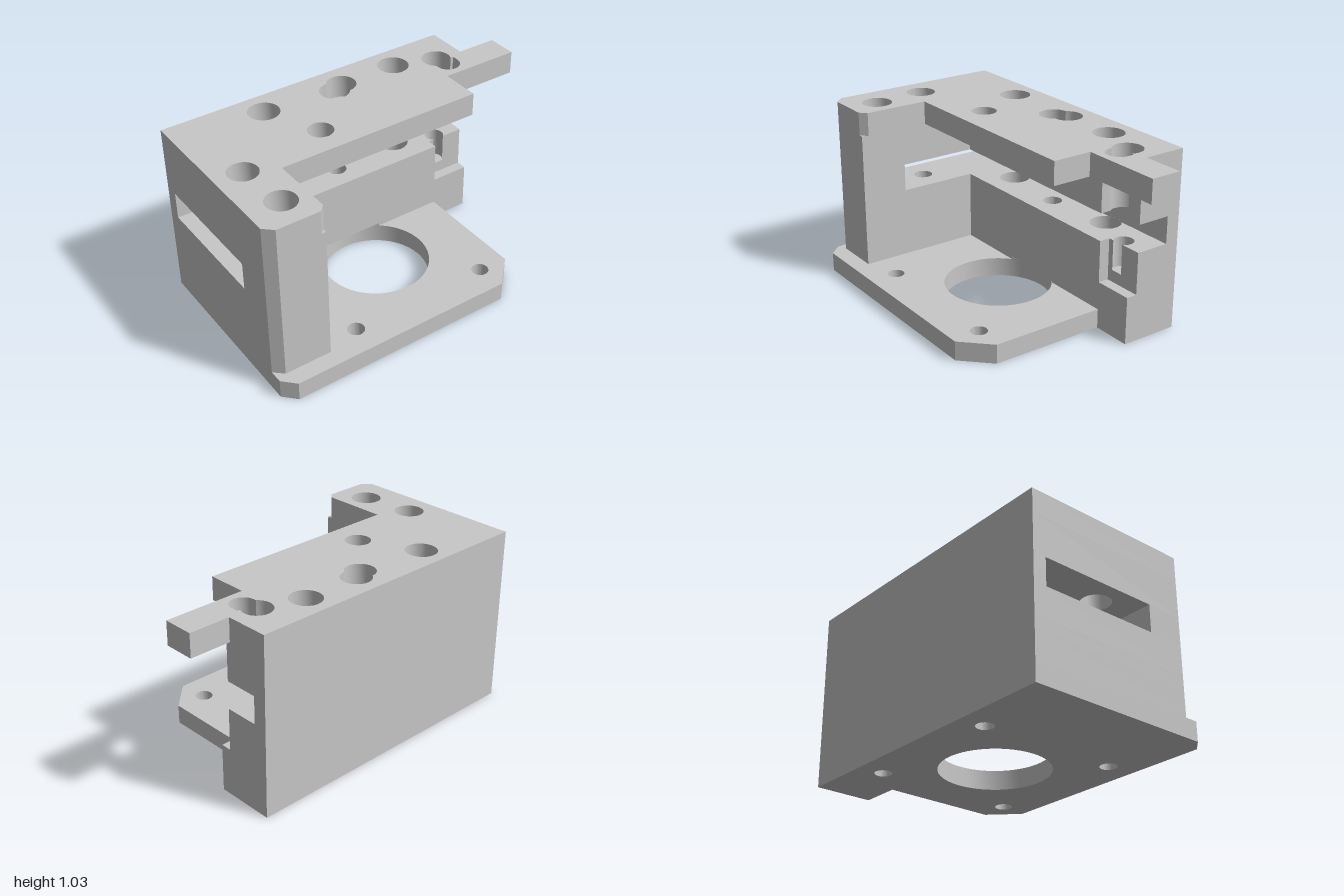
import * as THREE from 'three';
import { toCreasedNormals } from 'three/addons/utils/BufferGeometryUtils.js';

const TAU = Math.PI * 2;

// Points of an arc in plan (x, z)
function arc(cx, cz, r, a0, a1, n = 24) {
  const pts = [];
  for (let i = 0; i <= n; i++) {
    const a = a0 + (a1 - a0) * i / n;
    pts.push([cx + r * Math.cos(a), cz + r * Math.sin(a)]);
  }
  return pts;
}
const circle = (x, z, r, n = 40) => arc(x, z, r, 0, TAU, n).slice(0, n);

// Round bite out of a straight edge at z = edge, walked towards -x
function bite(cx, cz, r, edge) {
  const a = Math.asin((edge - cz) / r);
  return arc(cx, cz, r, a, -Math.PI - a);
}

export function createModel() {
  const group = new THREE.Group();
  const grey = new THREE.MeshStandardMaterial({ color: 0xc8c8c8 });
  grey.name = 'machined grey';

  // Horizontal slice of the block between two heights; holes wind opposite to the outline
  function slab(name, y0, y1, outline, holes = []) {
    const v = (pts) => pts.map(([x, z]) => new THREE.Vector2(x, -z));
    const shape = new THREE.Shape(v(outline));
    shape.holes = holes.map((h) => new THREE.Path(v(h).reverse()));
    const geo = new THREE.ExtrudeGeometry(shape, { depth: y1 - y0, bevelEnabled: false });
    geo.rotateX(-Math.PI / 2);
    const mesh = new THREE.Mesh(toCreasedNormals(geo, 0.5), grey);
    mesh.name = name;
    mesh.position.y = y0;
    group.add(mesh);
  }

  const back = -0.576, wall = -0.243, recess = -0.305, slotBack = -0.498;
  const side = 0.765, step = 0.537;
  const screwX = [-0.475, 0.362];
  const screws = (r, z) => screwX.map((x) => circle(x, z, r));
  const counterbores = screws(0.088, -0.427);

  // Column with chamfered corner, joined to the rear wall
  const column = [[-0.677, 0.479], [-0.948, 0.479], [-1, 0.43]];
  const body = (front) => [[-1, back], [side, back], ...front, [-0.677, wall], ...column];
  const plain = [[side, wall]];
  const pocket = (cut) => [[side, recess], ...cut, [step, recess], [step, wall]];

  // Base plate with motor opening and four screw holes
  slab('basePlate', 0, 0.11, [
    [-1, back], [side, back], [side, wall], [step, wall], [step, 0.422],
    [0.385, 0.576], [-0.932, 0.576], [-1, 0.505],
  ], [circle(-0.056, -0.007, 0.303, 64), ...screws(0.048, -0.427), ...screws(0.048, 0.412)]);

  // Lower body, relieved around the opening
  slab('lowerBodyRelief', 0.11, 0.127,
    body([...plain, ...bite(-0.056, -0.007, 0.303, wall)]), counterbores);
  slab('lowerBody', 0.127, 0.272, body(plain), counterbores);
  slab('pocketFloor', 0.272, 0.34, body(pocket([])), counterbores);

  // Ledge with blind pin holes
  slab('ledge', 0.34, 0.512, body(pocket(bite(0.605, -0.347, 0.055, recess))), [
    ...counterbores, circle(-0.056, -0.387, 0.055), circle(-0.84, -0.01, 0.055),
  ]);

  // Walls either side of the through slot
  slab('slotBackWall', 0.512, 0.669, [
    [-1, back], [side, back], [side, slotBack],
    ...bite(screwX[1], -0.427, 0.088, slotBack), ...bite(screwX[0], -0.427, 0.088, slotBack),
    [-1, slotBack],
  ]);
  slab('slotColumn', 0.512, 0.669, [[-1, 0.211], [-0.677, 0.211], ...column]);

  // Upper body below the top plate
  slab('upperBody', 0.669, 0.893, body(pocket(bite(0.605, -0.347, 0.083, recess))), [
    ...counterbores, circle(-0.056, -0.387, 0.084), circle(-0.84, -0.01, 0.083),
  ]);

  // Top plate: overlapping pair of bores, and a bore merged with a slot
  const dir = Math.atan2(-0.04, 0.07), h = 1.07;
  const doubleBore = [
    ...arc(-0.056, -0.387, 0.084, dir + h, dir + TAU - h),
    ...arc(0.014, -0.427, 0.084, dir + Math.PI + h, dir + 3 * Math.PI - h).slice(1, -1),
  ];
  const slottedBore = [
    ...arc(0.605, -0.347, 0.083, 2.22, TAU + 0.5), [0.695, -0.307],
    ...arc(0.625, -0.267, 0.07, 0, Math.PI),
  ];
  slab('topPlate', 0.893, 1.026, [
    [-1, back], [side, back], [side, -0.33], [1, -0.33], [1, -0.156], [step, -0.156],
    [step, 0.073], [-0.667, 0.073], [-0.667, 0.442], [-0.703, 0.479], [-0.948, 0.479], [-1, 0.43],
  ], [
    ...counterbores, doubleBore, slottedBore,
    circle(-0.84, -0.01, 0.083), circle(-0.81, 0.3, 0.085), circle(-0.327, -0.105, 0.071),
  ]);

  return group;
}
